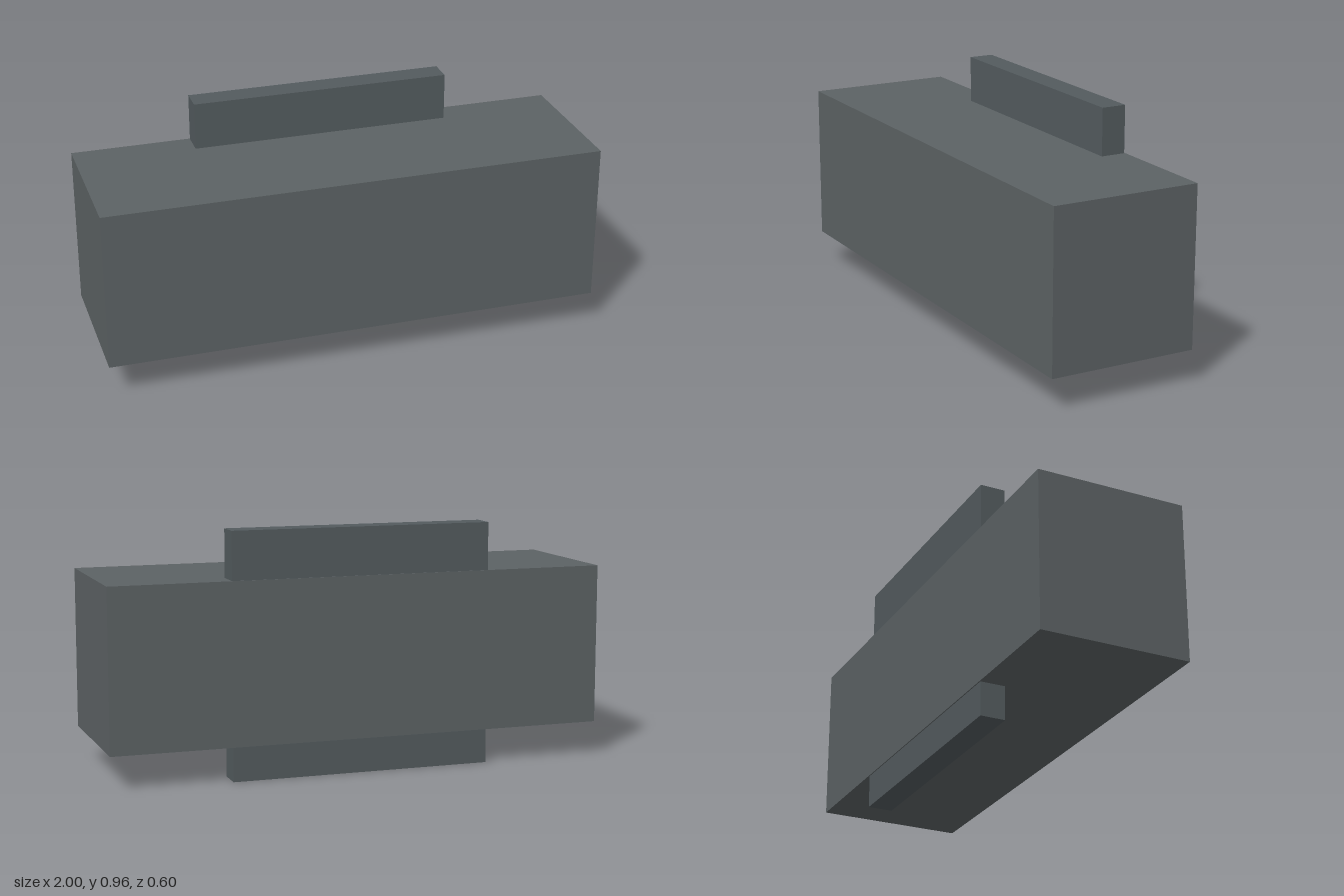
import * as THREE from 'three';

// Box given by its minimum and maximum corners
function block(name, min, max, color) {
  const size = max.map((v, i) => v - min[i]);
  const mesh = new THREE.Mesh(
    new THREE.BoxGeometry(...size),
    new THREE.MeshStandardMaterial({ color })
  );
  mesh.position.set(...max.map((v, i) => (v + min[i]) / 2));
  mesh.name = name;
  return mesh;
}

export function createModel() {
  const model = new THREE.Group();
  model.name = 'mountedBox';

  // Main housing
  model.add(block('body', [-1, 0.135, -0.3], [1, 0.773, 0.3], 0x5c6264));

  // Mounting plate running through the rear of the housing, out of its top and bottom
  model.add(block('mountingPlate', [-0.522, 0, -0.296], [0.522, 0.962, -0.196], 0x535b5e));

  return model;
}
